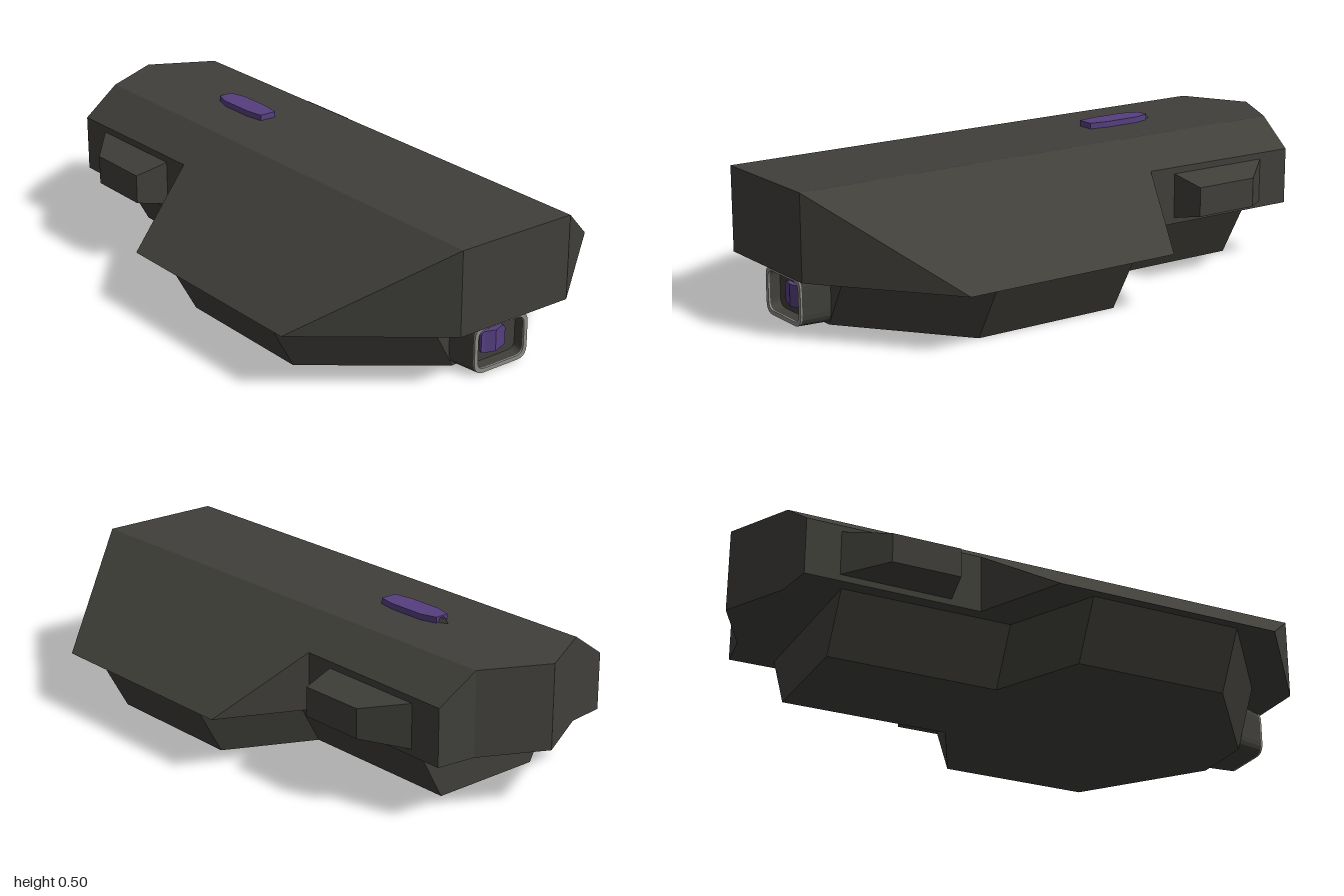
import * as THREE from 'three';

const paint = (color, extra = {}) => new THREE.MeshStandardMaterial({ color, flatShading: true, ...extra });
const dark = paint(0x403f3a);
const purple = paint(0x553f80);
const pale = paint(0x8c8a85);

// Mirrors a half outline [x, z] (z >= 0, running from -x to +x) into a full loop.
function mirrorLoop(half) {
  const back = half.filter(p => p[1] > 0).reverse().map(([x, z]) => [x, -z]);
  return [...half, ...back];
}

// Closed solid between two loops of Vector3; the top may be split into several facets.
function solid(name, low, high, material, facets = [low.map((_, i) => i)]) {
  const pos = [];
  const tri = (...v) => v.forEach(p => pos.push(p.x, p.y, p.z));
  const cap = (pts, sign) => {
    const flat = pts.map(p => new THREE.Vector2(p.x, p.z));
    for (const t of THREE.ShapeUtils.triangulateShape(flat, [])) {
      const [a, b, c] = t.map(i => pts[i]);
      const ny = (b.z - a.z) * (c.x - a.x) - (b.x - a.x) * (c.z - a.z);
      if (ny * sign > 0) tri(a, b, c); else tri(a, c, b);
    }
  };
  low.forEach((a, i) => {
    const j = (i + 1) % low.length;
    if (high[i].y - a.y < 1e-4 && high[j].y - low[j].y < 1e-4) return;
    tri(a, low[j], high[j]);
    tri(a, high[j], high[i]);
  });
  cap(low, -1);
  facets.forEach(f => cap(f.map(i => high[i]), 1));
  const g = new THREE.BufferGeometry();
  g.setAttribute('position', new THREE.Float32BufferAttribute(pos, 3));
  g.computeVertexNormals();
  const mesh = new THREE.Mesh(g, material);
  mesh.name = name;
  return mesh;
}

const lift = (loop, y) => loop.map(([x, z]) => new THREE.Vector3(x, typeof y === 'function' ? y(z) : y, z));

// Rounded rectangle centred on x, standing on y = y0
function roundRect(w, y0, y1, r, Type = THREE.Shape) {
  const s = new Type();
  s.moveTo(-w + r, y0);
  s.lineTo(w - r, y0);
  s.quadraticCurveTo(w, y0, w, y0 + r);
  s.lineTo(w, y1 - r);
  s.quadraticCurveTo(w, y1, w - r, y1);
  s.lineTo(-w + r, y1);
  s.quadraticCurveTo(-w, y1, -w, y1 - r);
  s.lineTo(-w, y0 + r);
  s.quadraticCurveTo(-w, y0, -w + r, y0);
  return s;
}

// Extrusion running along +x from x0 to x1
function alongX(name, shape, x0, x1, material) {
  const g = new THREE.ExtrudeGeometry(shape, { depth: x1 - x0, bevelEnabled: false, curveSegments: 5 });
  const mesh = new THREE.Mesh(g, material);
  mesh.name = name;
  mesh.rotation.y = Math.PI / 2;
  mesh.position.x = x0;
  return mesh;
}

function buildLens() {
  const lens = new THREE.Group();
  lens.name = 'lens';
  const frame = (inset) => {
    const s = roundRect(0.11, 0.004, 0.165, 0.04);
    s.holes.push(roundRect(0.11 - inset, 0.004 + inset, 0.165 - inset, 0.03, THREE.Path));
    return s;
  };
  // Sleeve flares toward the body
  const sleeve = alongX('lensSleeve', frame(0.014), 0.83, 0.94, dark);
  const p = sleeve.geometry.attributes.position;
  for (let i = 0; i < p.count; i++) {
    if (p.getZ(i) < 0.01) p.setXY(i, p.getX(i) * 1.16, p.getY(i) * 1.16);
  }
  sleeve.geometry.computeVertexNormals();
  lens.add(sleeve);
  lens.add(alongX('lensRim', frame(0.014), 0.94, 0.946, pale));
  lens.add(alongX('lensFloor', roundRect(0.1, 0.014, 0.155, 0.03), 0.84, 0.9, dark));
  // Glass with a shallow central ridge
  const glass = alongX('lensGlass', roundRect(0.05, 0.046, 0.12, 0.015), 0.89, 0.91, purple);
  lens.add(glass);
  const ridge = new THREE.Shape([[-0.035, 0], [0.035, 0], [0, 0.012]].map(a => new THREE.Vector2(...a)));
  const crest = new THREE.Mesh(new THREE.ExtrudeGeometry(ridge, { depth: 0.074, bevelEnabled: false }), purple);
  crest.name = 'lensRidge';
  crest.rotation.set(-Math.PI / 2, 0, -Math.PI / 2);
  crest.position.set(0.91, 0.046, 0);
  lens.add(crest);
  return lens;
}

export function createModel() {
  const model = new THREE.Group();
  model.name = 'device';

  // Upper shell: flat roof, sloping shoulders, vertical walls
  const shell = mirrorLoop([
    [-1, 0], [-0.885, 0.22], [-0.868, 0.355], [-0.263, 0.35],
    [-0.125, 0.64], [0.663, 0.64], [1, 0.22],
  ]);
  const roof = z => 0.475 - Math.max(0, Math.abs(z) - 0.22) * (0.285 / 0.42);
  model.add(solid('upperShell', lift(shell, 0.19), lift(shell, roof), dark,
    [[0, 1, 6, 7, 12], [1, 2, 3, 4, 5, 6], [7, 8, 9, 10, 11, 12]]));

  // Lower body, narrowing toward its underside
  const underside = [[-0.725, 0.2], [-0.135, 0.2], [0.01, 0.5], [0.54, 0.5], [0.845, 0.11]];
  const body = mirrorLoop(underside);
  const bodyTop = mirrorLoop(underside.map(([x, z]) => [x, z + 0.105]));
  model.add(solid('lowerBody', lift(body, 0), lift(bodyTop, 0.19), dark));

  // Side pods: tapered blocks pointing outward
  const podBase = [[-0.76, -0.21], [-0.365, -0.21], [-0.365, -0.365], [-0.76, -0.365]];
  const podFace = [[-0.62, -0.235], [-0.385, -0.235], [-0.385, -0.335], [-0.62, -0.335]];
  for (const side of [1, -1]) {
    const holder = new THREE.Group();
    holder.name = side > 0 ? 'frontPod' : 'backPod';
    const pod = solid('pod', lift(podBase, 0.345), lift(podFace, 0.463), dark);
    pod.rotation.x = Math.PI / 2;
    holder.add(pod);
    holder.scale.z = side;
    model.add(holder);
  }

  // Roof button with a dark pointed tip
  const button = mirrorLoop([[-0.507, 0.024], [-0.45, 0.041], [-0.32, 0.041], [-0.255, 0.03]]);
  model.add(solid('roofButton', lift(button, 0.47), lift(button, 0.495), purple));
  const tipLow = [[-0.54, 0], [-0.505, 0.018], [-0.505, -0.018]];
  const tipHigh = [[-0.525, 0], [-0.505, 0.01], [-0.505, -0.01]];
  model.add(solid('buttonTip', lift(tipLow, 0.47), lift(tipHigh, 0.49), dark));

  model.add(buildLens());
  return model;
}
